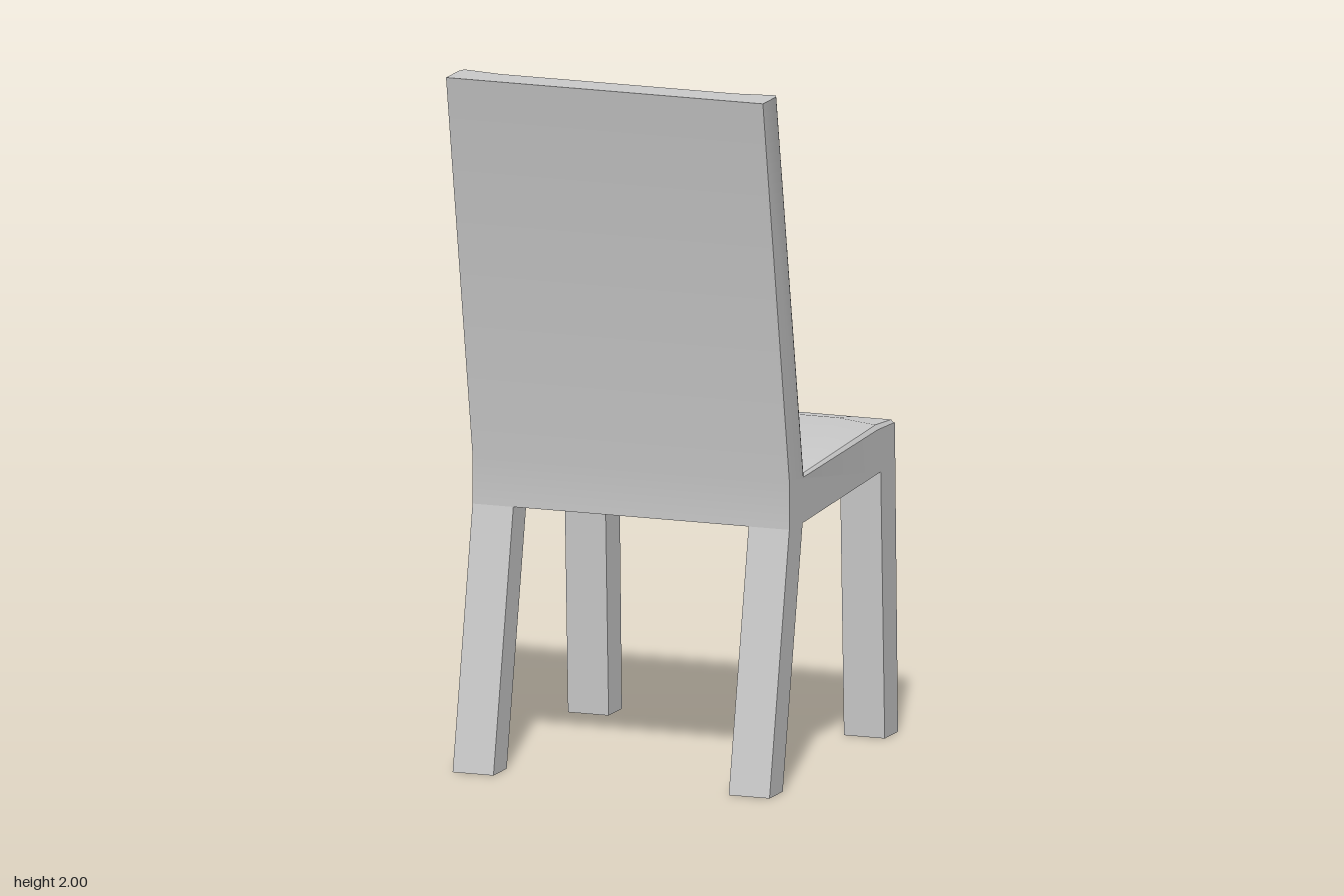
import * as THREE from 'three';
import { toCreasedNormals } from 'three/addons/utils/BufferGeometryUtils.js';

// Lofts side profiles ([z, y] loops) across rising x positions and caps both ends.
function loft(xs, profileAt) {
  const pos = [], index = [];
  const loops = xs.map(profileAt);
  const n = loops[0].length;
  loops.forEach((loop, i) => loop.forEach(([z, y]) => pos.push(xs[i], y, z)));
  for (let i = 0; i < xs.length - 1; i++) {
    for (let j = 0; j < n; j++) {
      const k = (j + 1) % n;
      const a = i * n + j, b = i * n + k, c = b + n, d = a + n;
      index.push(a, b, c, a, c, d);
    }
  }
  const last = (xs.length - 1) * n;
  const cap = (loop) => THREE.ShapeUtils.triangulateShape(
    loop.map(([z, y]) => new THREE.Vector2(-z, y)), []);
  for (const [a, b, c] of cap(loops[0])) index.push(a, c, b);
  for (const [a, b, c] of cap(loops[xs.length - 1])) index.push(last + a, last + b, last + c);

  const geo = new THREE.BufferGeometry();
  geo.setAttribute('position', new THREE.Float32BufferAttribute(pos, 3));
  geo.setIndex(index);
  return toCreasedNormals(geo, Math.PI / 6);
}

export function createModel() {
  const chair = new THREE.Group();
  chair.name = 'chair';
  const material = new THREE.MeshStandardMaterial({ color: 0xcccccc });
  const add = (name, geometry) => {
    const mesh = new THREE.Mesh(geometry, material);
    mesh.name = name;
    chair.add(mesh);
  };

  const outer = 0.478, rim = 0.47, inner = 0.355;

  // Seat and backrest: hollowed back cushion, softly crowned seat, small bevelled rim
  const bodyProfile = (x) => {
    const ax = Math.abs(x);
    const atSide = ax === outer;
    const lean = ax === rim ? -0.02 : 0;                  // backrest wings
    const crown = atSide ? -0.025 : ax === rim ? -0.012 : 0; // seat edges dip
    return [
      [0.51, 2], [0.31, 0.88], [0.31, 0.74],              // rear
      [0.21, 0.74], [-0.38, 0.77], [-0.49, 0.77],         // underside
      [-0.487, 0.89],                                     // front edge
      [-0.478, atSide ? 0.891 : 0.9],
      [-0.36, 0.92 + crown],
      [0.205 + lean, atSide ? 0.87 : 0.878],              // seat meets backrest
      [0.41 + lean, 2],
    ];
  };
  add('seatAndBackrest', loft([-outer, -rim, -inner, inner, rim, outer], bodyProfile));

  // Splayed legs, one pair on each side
  const rearLeg = [[0.31, 0.74], [0.46, 0], [0.36, 0], [0.21, 0.74]];
  const frontLeg = [[-0.38, 0.77], [-0.41, 0], [-0.51, 0], [-0.49, 0.77]];
  for (const [side, xs] of [['Left', [inner, outer]], ['Right', [-outer, -inner]]]) {
    add('rearLeg' + side, loft(xs, () => rearLeg));
    add('frontLeg' + side, loft(xs, () => frontLeg));
  }
  return chair;
}
